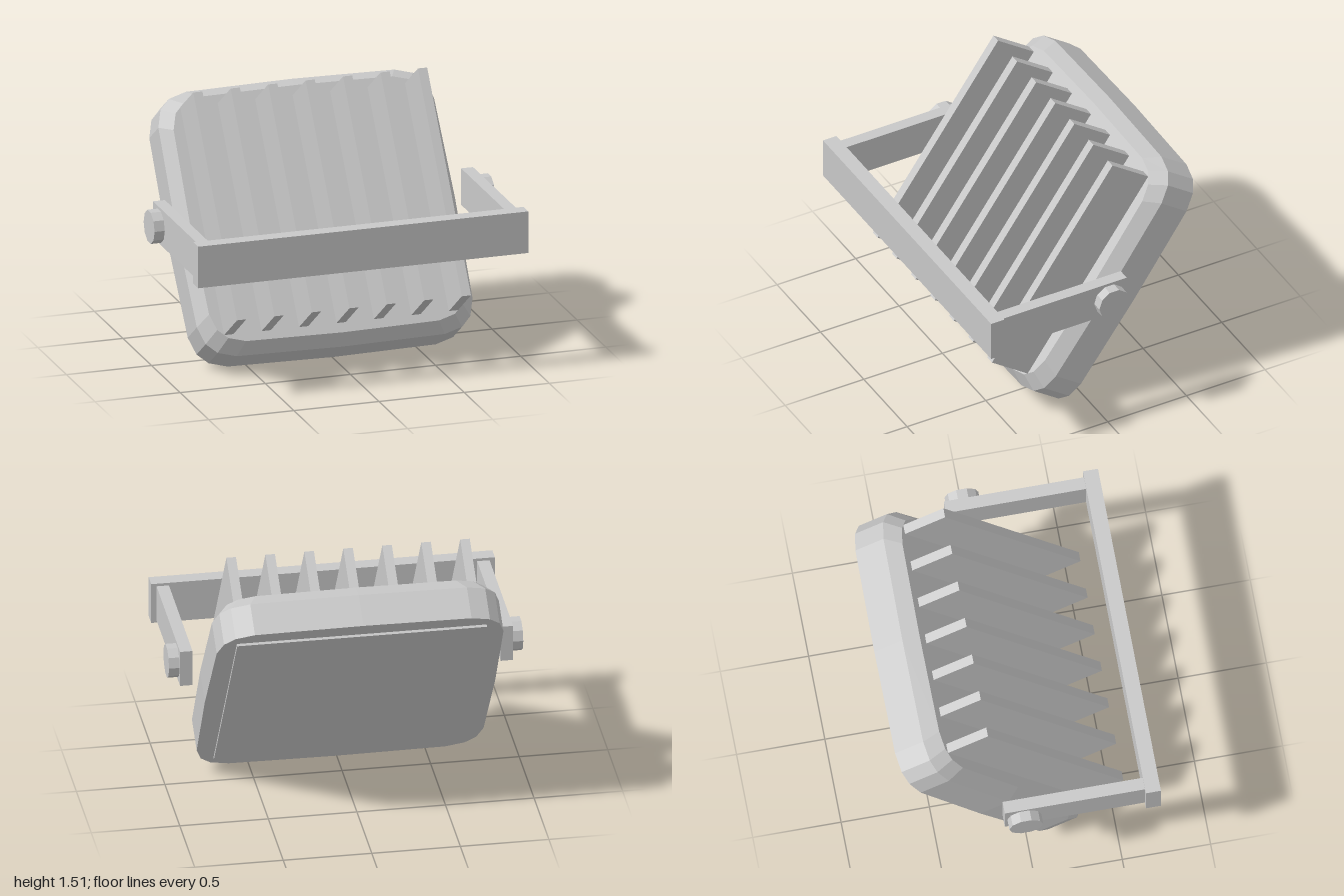
import * as THREE from 'three';

const HALF_W = 0.82, HALF_H = 0.785, SIDES = 20;

// Loft of rounded-square loops, each given as [z, inset], capped at both ends
function housingGeometry(sections) {
  const loops = sections.map(([z, inset]) => {
    const loop = [];
    for (let i = 0; i < SIDES; i++) {
      const t = (i / SIDES) * Math.PI * 2;
      const round = (v) => (Math.abs(v) < 1e-6 ? 0 : Math.sign(v) * Math.abs(v) ** 0.25);
      loop.push([(HALF_W - inset) * round(Math.cos(t)), (HALF_H - inset) * round(Math.sin(t)), z]);
    }
    return loop;
  });
  const pos = [];
  const tri = (a, b, c) => pos.push(...a, ...b, ...c);
  const last = loops.length - 1;
  for (let i = 0; i < SIDES; i++) {
    const j = (i + 1) % SIDES;
    for (let k = 0; k < last; k++) {
      tri(loops[k][i], loops[k][j], loops[k + 1][j]);
      tri(loops[k][i], loops[k + 1][j], loops[k + 1][i]);
    }
    tri([0, 0, sections[0][0]], loops[0][j], loops[0][i]);
    tri([0, 0, sections[last][0]], loops[last][i], loops[last][j]);
  }
  const geometry = new THREE.BufferGeometry();
  geometry.setAttribute('position', new THREE.Float32BufferAttribute(pos, 3));
  geometry.computeVertexNormals();
  return geometry;
}

export function createModel() {
  const model = new THREE.Group();
  model.name = 'floodlight';
  const metal = new THREE.MeshStandardMaterial({ color: 0xc8c8c8, flatShading: true });
  metal.name = 'grey metal';

  const add = (parent, name, geometry, x, y, z) => {
    const mesh = new THREE.Mesh(geometry, metal);
    mesh.name = name;
    mesh.position.set(x, y, z);
    parent.add(mesh);
    return mesh;
  };
  const box = (w, h, d) => new THREE.BoxGeometry(w, h, d);

  // Tilted lamp head; local z = 0 is the plane behind which the lens sits
  const head = new THREE.Group();
  head.name = 'lampHead';
  head.position.set(0, 0.648, -0.27);
  head.rotation.x = THREE.MathUtils.degToRad(-35);
  model.add(head);

  add(head, 'housing', housingGeometry([[0, 0], [0.194, 0], [0.273, 0.06]]), 0, 0, 0);
  add(head, 'lens', box(1.41, 1.37, 0.03), 0, 0, 0);

  // Cooling fins
  for (let i = -3; i <= 3; i++) {
    add(head, 'coolingFin', box(0.054, 1.336, 0.3), i * 0.22, 0, 0.4);
  }

  // Mounting bracket with a bolt on each arm
  const bracket = new THREE.Group();
  bracket.name = 'bracket';
  model.add(bracket);
  add(bracket, 'bracketBar', box(1.94, 0.244, 0.085), 0, 0.808, 0.682);
  for (const side of [-1, 1]) {
    add(bracket, 'bracketArm', box(0.07, 0.214, 0.8), side * 0.905, 0.807, 0.246);
    const bolt = add(bracket, 'bolt', new THREE.CylinderGeometry(0.096, 0.096, 0.065, 10), side * 0.9675, 0.806, -0.043);
    bolt.rotation.z = Math.PI / 2;
  }
  return model;
}
